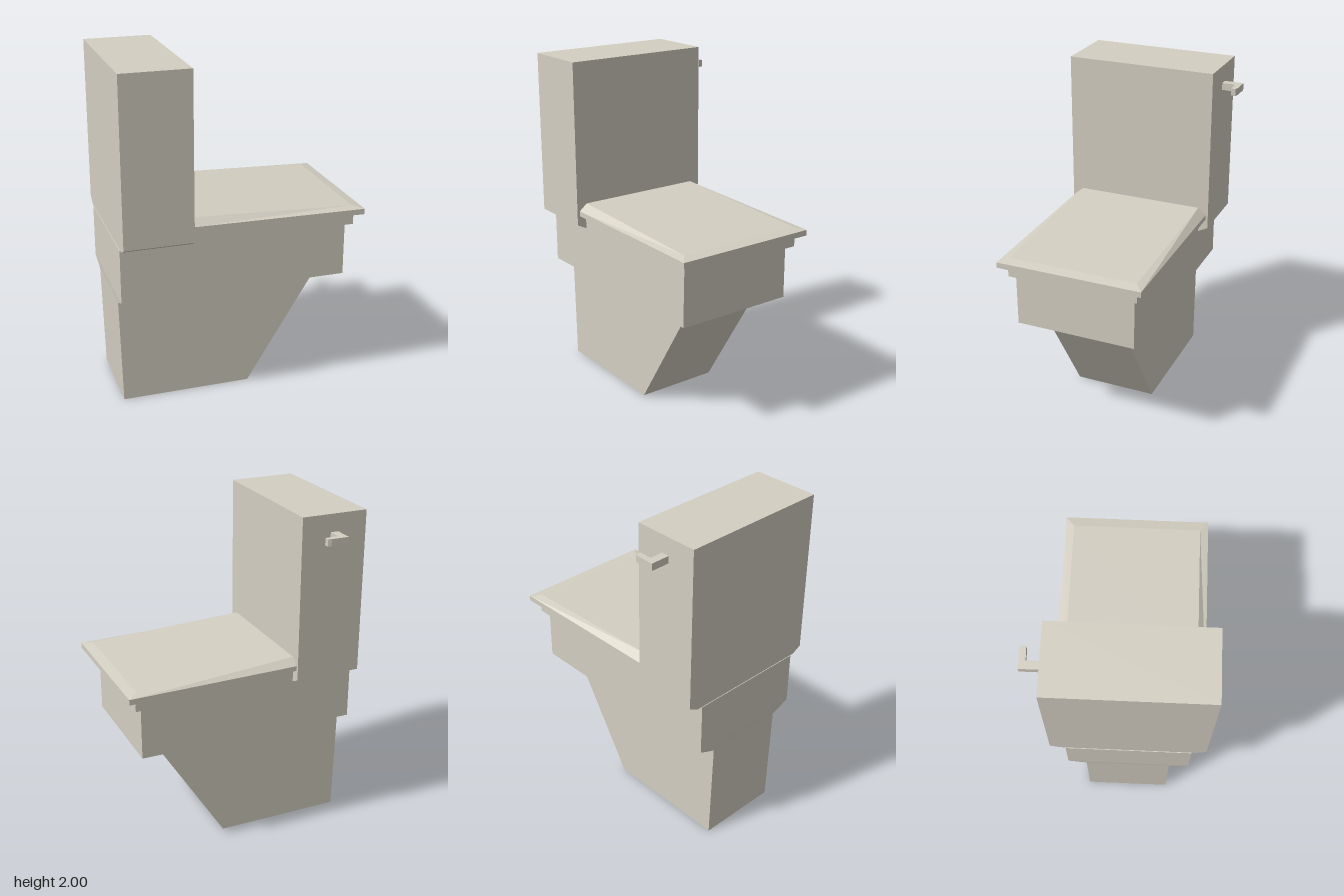
import * as THREE from 'three';

const ceramic = new THREE.MeshStandardMaterial({ color: 0xd4cfc2 });
ceramic.name = 'ceramic';

// Solid through rectangular rings, bottom to top.
// Ring: [y at x0, y at x1, x0, x1, z0, z1]
function loft(name, rings) {
  const pos = [];
  const corners = rings.map(([ya, yb, x0, x1, z0, z1]) => [
    [x0, ya, z1], [x1, yb, z1], [x1, yb, z0], [x0, ya, z0],
  ]);
  const quad = (a, b, c, d) => pos.push(...a, ...b, ...c, ...a, ...c, ...d);
  for (let r = 0; r < corners.length - 1; r++) {
    const lo = corners[r], hi = corners[r + 1];
    for (let i = 0; i < 4; i++) {
      const j = (i + 1) % 4;
      quad(lo[i], lo[j], hi[j], hi[i]);
    }
  }
  const [a, b, c, d] = corners[0];
  quad(d, c, b, a);
  quad(...corners[corners.length - 1]);
  const geo = new THREE.BufferGeometry();
  geo.setAttribute('position', new THREE.Float32BufferAttribute(pos, 3));
  geo.computeVertexNormals();
  const mesh = new THREE.Mesh(geo, ceramic);
  mesh.name = name;
  return mesh;
}

export function createModel() {
  const group = new THREE.Group();
  group.name = 'toilet';

  // Pedestal with raked front, flaring into the bowl
  group.add(loft('pedestalAndBowl', [
    [0, 0, -0.695, 0.07, -0.193, 0.308],
    [0.633, 0.633, -0.71, 0.465, -0.193, 0.308],
    [0.682, 0.682, -0.714, 0.62, -0.303, 0.422],
    [1.0, 1.0, -0.714, 0.62, -0.303, 0.422],
  ]));

  // Cistern with a chamfered underside along its sides
  group.add(loft('tank', [
    [1.0, 1.0, -0.71, -0.311, -0.335, 0.448],
    [1.03, 1.03, -0.71, -0.311, -0.393, 0.506],
    [2.0, 2.0, -0.71, -0.311, -0.393, 0.506],
  ]));

  group.add(loft('seat', [
    [1.0, 1.0, -0.311, 0.66, -0.335, 0.448],
    [1.085, 1.071, -0.311, 0.66, -0.335, 0.448],
  ]));

  // Sloping lid with bevelled sides and front
  group.add(loft('lid', [
    [1.085, 1.07, -0.311, 0.71, -0.379, 0.49],
    [1.115, 1.103, -0.311, 0.71, -0.379, 0.49],
    [1.155, 1.115, -0.311, 0.65, -0.33, 0.441],
  ]));

  // L-shaped flush lever, drawn in plan (x, z)
  const plan = new THREE.Shape([
    [-0.535, -0.39], [-0.535, -0.508], [-0.43, -0.506], [-0.411, -0.5],
    [-0.409, -0.473], [-0.488, -0.471], [-0.488, -0.39],
  ].map(([x, z]) => new THREE.Vector2(x, z)));
  const leverGeo = new THREE.ExtrudeGeometry(plan, { depth: 0.042, bevelEnabled: false });
  leverGeo.rotateX(Math.PI / 2).translate(0, 1.896, 0);
  const lever = new THREE.Mesh(leverGeo, ceramic);
  lever.name = 'flushLever';
  group.add(lever);

  return group;
}
